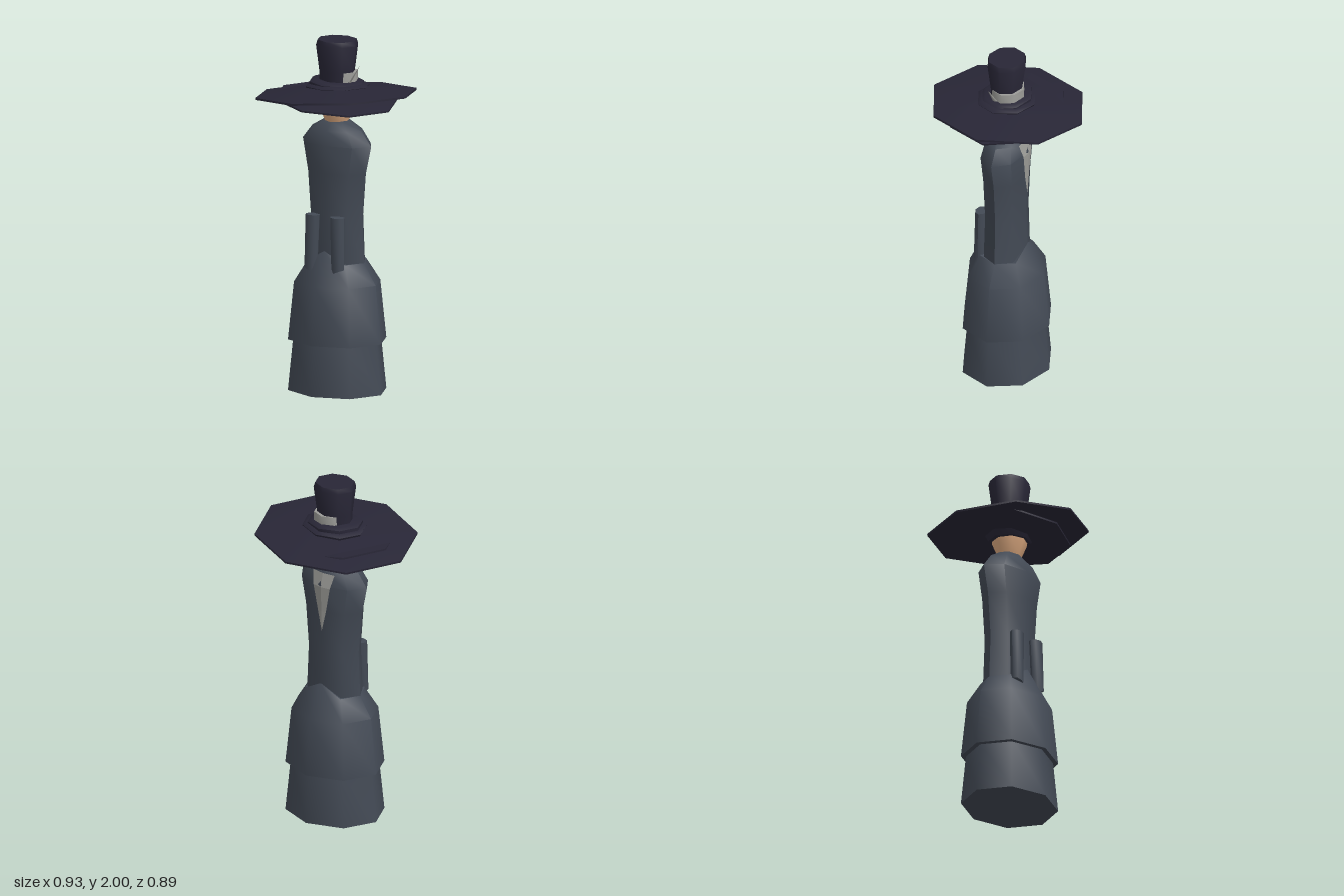
import * as THREE from 'three';
import { toCreasedNormals } from 'three/addons/utils/BufferGeometryUtils.js';

const mat = (name, color) => {
  const m = new THREE.MeshStandardMaterial({ color });
  m.name = name;
  return m;
};

// Faceted ring body from rows of [x radius, y, z radius]; rule(vertex) may reshape it
function rings(rows, sides = 8, rule) {
  const g = new THREE.LatheGeometry(rows.map(([r, y]) => new THREE.Vector2(r, y)), sides);
  const p = g.attributes.position;
  const v = new THREE.Vector3();
  for (let i = 0; i < p.count; i++) {
    const [rx, , rz = rx] = rows[i % rows.length];
    v.fromBufferAttribute(p, i);
    if (rx > 0) v.z *= rz / rx;
    if (rule) rule(v);
    p.setXYZ(i, v.x, v.y, v.z);
  }
  return toCreasedNormals(g, 0.9);
}

export function createModel() {
  const model = new THREE.Group();
  const cloth = mat('slate cloth', 0x434a55);
  const felt = mat('dark hat felt', 0x282636);
  const skin = mat('skin', 0xe0ac82);
  const grey = mat('pale grey trim', 0x9c9c98);
  grey.side = THREE.DoubleSide;

  const add = (name, geometry, material, x = 0.01, y = 0, z = 0.003, rx = 0, rz = 0) => {
    const m = new THREE.Mesh(geometry, material);
    m.name = name;
    m.position.set(x, y, z);
    m.rotation.set(rx, 0, rz);
    model.add(m);
    return m;
  };

  // Dress
  add('lowerSkirt', rings([[0, 0], [0.295, 0, 0.255], [0.262, 0.31, 0.227], [0, 0.31]]), cloth);
  add('upperSkirt', rings(
    [[0, 0.29], [0.295, 0.29, 0.255], [0.26, 0.62, 0.222], [0.18, 0.74, 0.15], [0, 0.74]], 8,
    (v) => {
      // waistline peaks at the middle of the front and back
      if (v.y > 0.7 && Math.abs(v.x) < 0.01 && Math.abs(v.z) > 0.1) {
        v.y = 0.81;
        v.z *= 0.85;
      }
    }), cloth);
  add('torso', rings([
    [0, 0.72], [0.182, 0.73, 0.122], [0.17, 1.0, 0.115], [0.193, 1.25, 0.122],
    [0.23, 1.41, 0.13], [0.165, 1.49, 0.105], [0.08, 1.54, 0.06], [0, 1.545],
  ]), cloth);

  // Two hanging sash tails on the front, with slanted lower ends
  for (const side of [-1, 1]) {
    const tail = rings([[0, 0.7], [0.038, 0.7, 0.036], [0.045, 1.01, 0.034], [0, 1.01]], 8, (v) => {
      if (v.y < 0.8) {
        v.y += side * v.x * 0.4;
        v.x += side * 0.008;
        v.z += 0.006;
      }
    });
    add(side < 0 ? 'rightSashTail' : 'leftSashTail', tail, cloth, 0.01 + side * 0.083, 0, 0.122);
  }

  // Pointed collar flap folded down the back
  const flap = [];
  const rows = [[0.075, 1.48, -0.112], [0.058, 1.4, -0.131], [0.028, 1.25, -0.124], [0, 1.13, -0.122]];
  for (let i = 0; i < rows.length - 1; i++) {
    for (const s of [-1, 1]) {
      const [w0, y0, z0] = rows[i];
      const [w1, y1, z1] = rows[i + 1];
      const a = [0, y0, z0], b = [s * w0, y0, z0 + w0 * 0.14];
      const c = [0, y1, z1], d = [s * w1, y1, z1 + w1 * 0.14];
      const tris = s > 0 ? [a, b, c, b, d, c] : [a, c, b, b, c, d];
      flap.push(...tris.flat());
    }
  }
  const flapGeometry = new THREE.BufferGeometry();
  flapGeometry.setAttribute('position', new THREE.Float32BufferAttribute(flap, 3));
  flapGeometry.computeVertexNormals();
  add('backCollar', flapGeometry, grey, 0.005);

  // Head
  add('head', rings([[0, 1.53], [0.07, 1.535, 0.065], [0.098, 1.61], [0.105, 1.67], [0, 1.67]]), skin);

  // Hat: two brims tilted against each other, stacked rolls and a tall crown
  add('hatLining', rings([[0, 1.625], [0.125, 1.625, 0.115], [0.15, 1.67, 0.14], [0, 1.67]]), felt);
  add('lowerBrim', rings([[0, -0.02], [0.355, -0.016, 0.34], [0.355, -0.006, 0.34], [0.15, 0.015], [0, 0.015]]),
    felt, 0.005, 1.667, 0.005, 0.03, -0.08);
  add('upperBrim', rings([[0, -0.018], [0.467, -0.006, 0.445], [0.467, 0.005, 0.445], [0.17, 0.045], [0, 0.045]]),
    felt, 0, 1.683, 0, -0.045, 0.08);
  add('lowerRoll', rings([[0, -0.025], [0.18, -0.02, 0.16], [0.19, 0, 0.168], [0.165, 0.014, 0.145], [0, 0.014]]),
    felt, 0.013, 1.735, 0.003, -0.02, 0.04);
  add('upperRoll', rings([[0, -0.015], [0.162, -0.012, 0.145], [0.162, 0.006, 0.145], [0.14, 0.018, 0.125], [0, 0.018]]),
    felt, 0.008, 1.752, 0.003, 0.02, -0.03);
  add('crown', rings([
    [0, 1.73], [0.104, 1.73, 0.09], [0.106, 1.82, 0.092], [0.124, 1.97, 0.113], [0.115, 1.998, 0.105], [0, 2],
  ]), felt);
  add('hatBand', rings([[0, 1.755], [0.106, 1.755, 0.095], [0.103, 1.82, 0.093], [0, 1.82]]), grey, 0.022, 0, -0.01);

  // Feather tucked into the band
  const feather = new THREE.CylinderGeometry(0.002, 0.014, 0.135, 4);
  feather.scale(0.4, 1, 1);
  add('feather', feather, grey, 0.148, 1.815, 0.035, 0.1, -0.6);

  return model;
}
